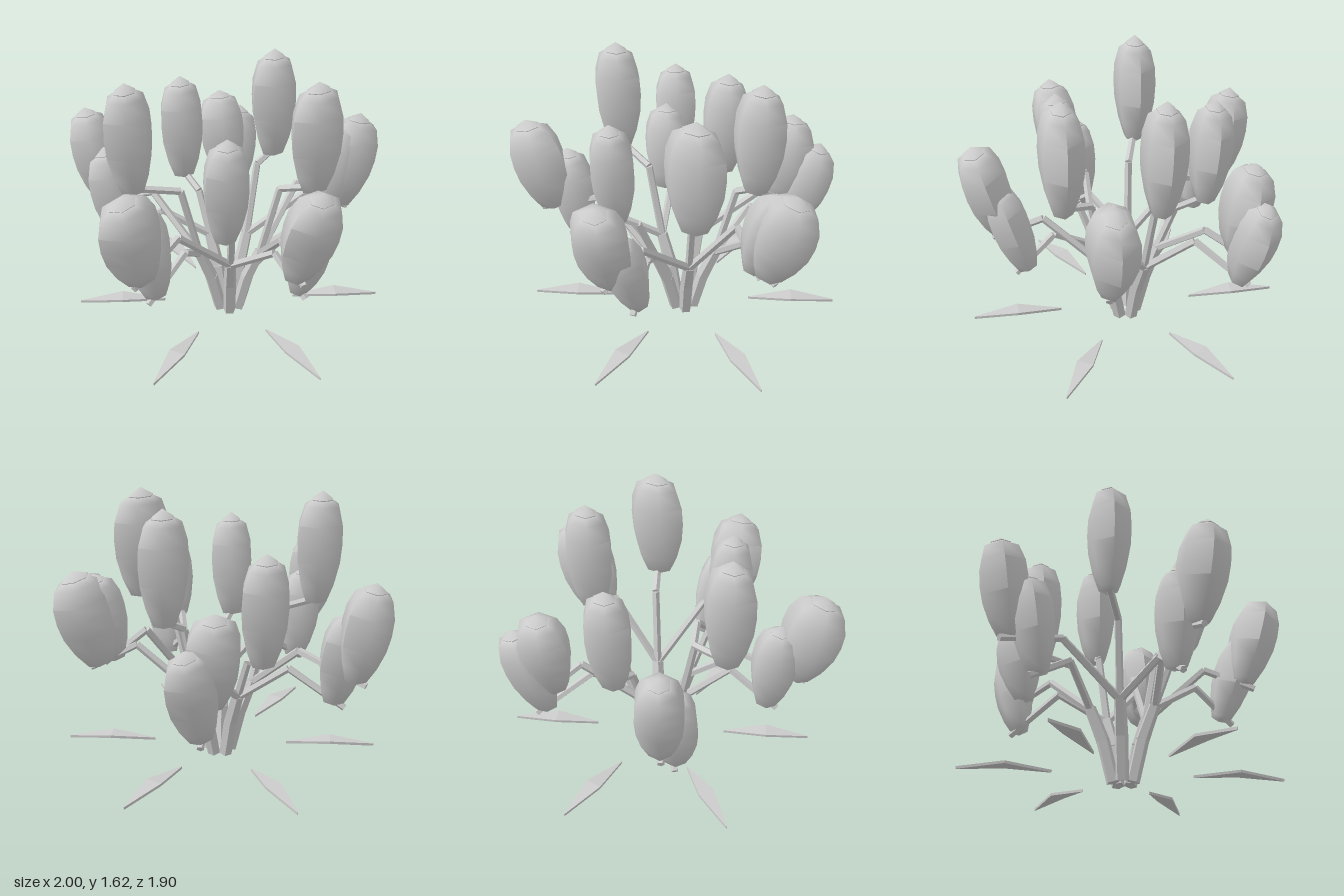
import * as THREE from 'three';
import { toCreasedNormals } from 'three/addons/utils/BufferGeometryUtils.js';

const V = (x, y, z) => new THREE.Vector3(x, y, z);
const UP = V(0, 1, 0);
const CENTRE = V(0.065, 0, -0.01);
const mat = new THREE.MeshStandardMaterial({ color: 0xcccccc });
const flatMat = new THREE.MeshStandardMaterial({ color: 0xcccccc, flatShading: true });

// Point at an angle (degrees, from +x towards +z) around the middle of the plant
function polar(deg, r, y) {
  const a = THREE.MathUtils.degToRad(deg);
  return V(CENTRE.x + r * Math.cos(a), y, CENTRE.z + r * Math.sin(a));
}

// Six-sided lathe solid, flattened so that only its two side edges stay sharp
function hexSolid(profile) {
  const g = new THREE.LatheGeometry(profile.map(([r, y]) => new THREE.Vector2(r, y)), 6);
  g.rotateY(Math.PI / 2);
  g.scale(1, 1, 0.8);
  return toCreasedNormals(g, 1.1);
}

// Unit flower: half-width 1, height 1 including the bud
const petalsGeo = hexSolid([
  [0, 0], [0.47, 0.01], [0.75, 0.18], [0.95, 0.38], [1, 0.55], [0.96, 0.71], [0.75, 0.87], [0.42, 0.92], [0, 0.925],
]);
const budGeo = hexSolid([[0, 0.85], [0.36, 0.87], [0.44, 0.925], [0, 1]]);

// Flattened tulip head leaning from its base to its tip
function flower(name, base, tip, width, depth) {
  const group = new THREE.Group();
  group.name = name;
  const petals = new THREE.Mesh(petalsGeo, mat);
  petals.name = 'petals';
  const bud = new THREE.Mesh(budGeo, mat);
  bud.name = 'bud';
  group.add(petals, bud);
  const axis = tip.clone().sub(base);
  group.scale.set(width / 2, axis.length(), depth / 2);
  group.quaternion.setFromUnitVectors(UP, axis.normalize());
  group.position.copy(base);
  return group;
}

// Angular stalk running through a few points
function stalk(name, points, radii) {
  const group = new THREE.Group();
  group.name = name;
  for (let i = 0; i < points.length - 1; i++) {
    const dir = points[i + 1].clone().sub(points[i]);
    const seg = new THREE.Mesh(new THREE.CylinderGeometry(radii[i + 1], radii[i], dir.length(), 5), flatMat);
    seg.name = 'stalkSegment';
    seg.position.copy(points[i]).addScaledVector(dir, 0.5);
    seg.quaternion.setFromUnitVectors(UP, dir.normalize());
    group.add(seg);
  }
  return group;
}

// Thin diamond leaf, arched in the middle
function leafGeometry() {
  const g = new THREE.BoxGeometry(0.54, 0.016, 0.1, 2, 1, 1);
  const p = g.attributes.position;
  for (let i = 0; i < p.count; i++) {
    const mid = 1 - Math.abs(p.getX(i)) / 0.27;
    p.setZ(i, p.getZ(i) * Math.max(mid, 0.04));
    p.setY(i, p.getY(i) + 0.06 + 0.03 * mid);
  }
  return g;
}

export function createModel() {
  const model = new THREE.Group();
  model.name = 'tulipPlant';

  // Inner upright flowers: stem angle, base, tip, width
  const inner = [
    [54, V(0.345, 0.95, 0.43), V(0.35, 1.62, 0.42), 0.37],
    [126, V(-0.22, 0.76, 0.31), V(-0.23, 1.41, 0.34), 0.29],
    [198, V(-0.49, 0.94, -0.21), V(-0.51, 1.62, -0.22), 0.32],
    [270, V(0.08, 0.75, -0.5), V(0.09, 1.41, -0.54), 0.31],
    [342, V(0.48, 0.94, -0.1), V(0.49, 1.62, -0.12), 0.32],
  ];
  for (const [deg, base, tip, width] of inner) {
    model.add(flower('innerFlower', base, tip, width, 0.33));
    const fork = polar(deg, 0.2, 0.45);
    model.add(stalk('mainStem', [polar(deg, 0.06, 0.005), polar(deg, 0.12, 0.25), fork], [0.04, 0.042, 0.036]));
    const kink = polar(deg, 0.31, base.y - 0.04);
    model.add(stalk('innerStalk', [fork, kink, base.clone().add(V(0, 0.02, 0))], [0.025, 0.023, 0.022]));
  }

  // Outer leaning pairs: angle, then base, tip, width of the large and the small flower
  const outer = [
    [92, V(-0.03, 0.65, 0.71), V(-0.01, 1.24, 0.87), 0.36, V(0.09, 0.45, 0.6), V(0.05, 1.0, 0.76), 0.25],
    [164, V(-0.73, 0.66, 0.22), V(-0.86, 1.24, 0.26), 0.38, V(-0.59, 0.45, 0.14), V(-0.66, 1.04, 0.14), 0.29],
    [236, V(-0.38, 0.65, -0.74), V(-0.43, 1.24, -0.83), 0.3, V(-0.37, 0.45, -0.57), V(-0.41, 1.03, -0.66), 0.31],
    [308, V(0.46, 0.62, -0.56), V(0.48, 1.18, -0.65), 0.34, V(0.52, 0.45, -0.57), V(0.67, 1.02, -0.66), 0.32],
    [20, V(0.72, 0.65, 0.25), V(0.87, 1.23, 0.26), 0.38, V(0.63, 0.66, 0.25), V(0.76, 1.2, 0.24), 0.28],
  ];
  for (const [deg, base, tip, width, base2, tip2, width2] of outer) {
    model.add(flower('outerFlower', base, tip, width, 0.37), flower('lowerFlower', base2, tip2, width2, 0.32));
    // Each pair hangs from the two neighbouring main stems
    for (const [side, b, kinkR, rise] of [[-38, base, 0.5, 0.13], [34, base2, 0.44, 0.21]]) {
      const out = polar(deg, 0.07, 0).sub(CENTRE);
      const end = b.clone().add(out).add(V(0, -0.03, 0));
      const kink = polar(deg, kinkR, end.y + rise);
      model.add(stalk('outerStalk', [polar(deg + side, 0.2, 0.44), kink, end], [0.025, 0.023, 0.021]));
    }
  }

  // Ring of six leaves near the ground
  const leafGeo = leafGeometry();
  for (let i = 0; i < 6; i++) {
    const deg = 35 + i * 60;
    const leaf = new THREE.Mesh(leafGeo, flatMat);
    leaf.name = 'leaf';
    leaf.position.copy(polar(deg, 0.68, 0));
    leaf.rotation.y = -THREE.MathUtils.degToRad(deg);
    model.add(leaf);
  }
  return model;
}
